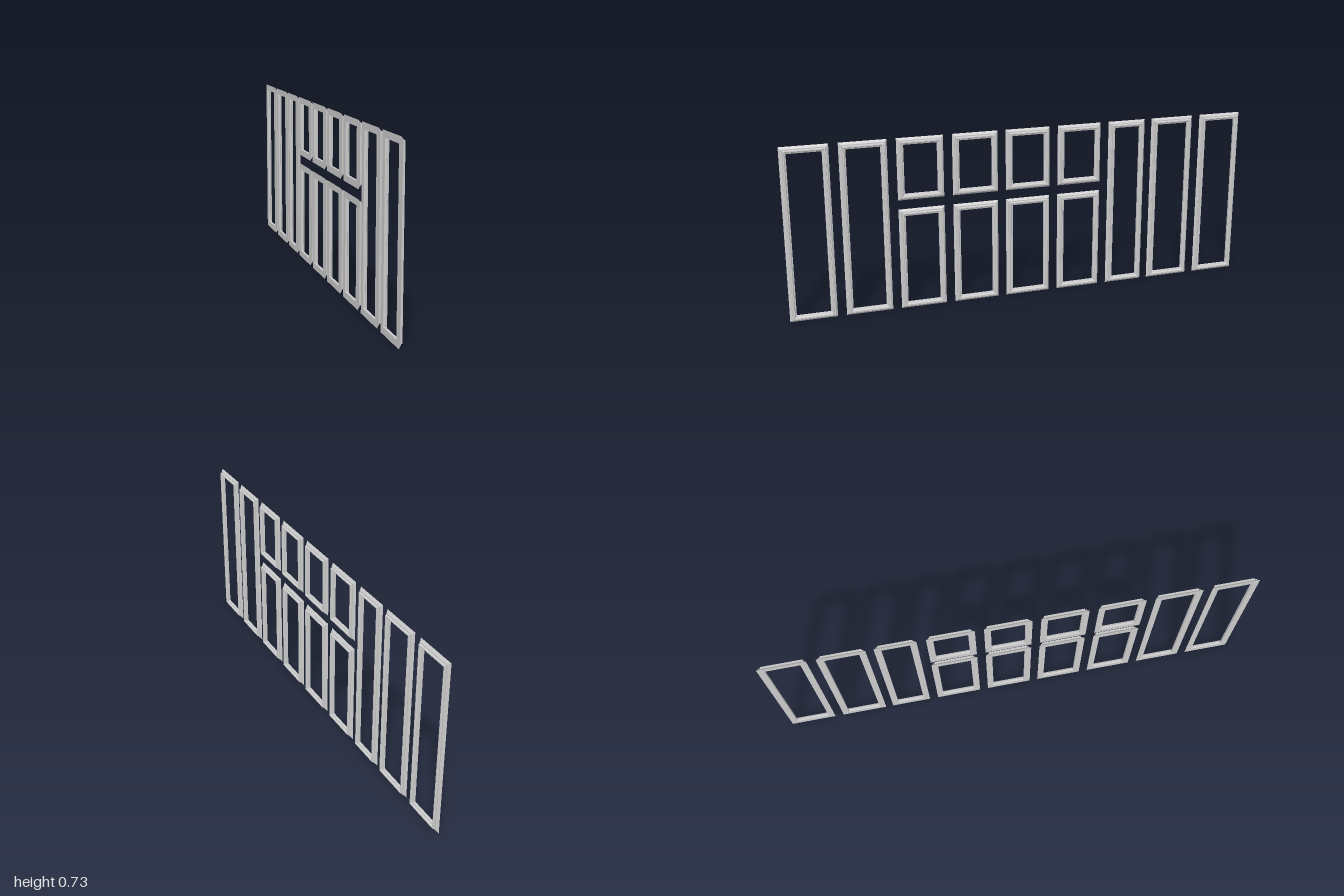
import * as THREE from 'three';

// Moulding cross-section as [inset from outer edge, x]: flat back, stepped front
const PROFILE = [
  [0, -0.009], [0.005, -0.005], [0.009, -0.001], [0.009, 0.001], [0.013, 0.001],
  [0.015, 0.009], [0.019, 0.009], [0.022, 0.003], [0.027, 0.001], [0.027, -0.009],
];

// Mitred rectangular frame: the cross-section swept around four corners
function frameGeometry(z0, z1, y0, y1) {
  const corner = (k, [inset, x]) => [
    x,
    k < 2 ? y0 + inset : y1 - inset,
    k === 0 || k === 3 ? z1 - inset : z0 + inset,
  ];
  const positions = [];
  for (let k = 0; k < 4; k++) {
    const next = (k + 1) % 4;
    PROFILE.forEach((p, i) => {
      const q = PROFILE[(i + 1) % PROFILE.length];
      const a = corner(k, p), b = corner(next, p), c = corner(next, q), d = corner(k, q);
      positions.push(...a, ...b, ...c, ...a, ...c, ...d);
    });
  }
  const geometry = new THREE.BufferGeometry();
  geometry.setAttribute('position', new THREE.Float32BufferAttribute(positions, 3));
  geometry.computeVertexNormals();
  return geometry;
}

export function createModel() {
  const group = new THREE.Group();
  group.name = 'wallPanelMoulding';
  const material = new THREE.MeshStandardMaterial({ color: 0xcccccc, flatShading: true });

  const addFrame = (name, z0, z1, y0, y1) => {
    const mesh = new THREE.Mesh(frameGeometry(z0, z1, y0, y1), material);
    mesh.name = name;
    group.add(mesh);
  };

  const height = 0.727;

  // Columns along z; the split ones hold a short frame over a taller one
  const columns = [
    [0.807, 1], [0.577, 0.77], [0.347, 0.54, true], [0.117, 0.31, true],
    [-0.111, 0.082, true], [-0.34, -0.147, true],
    [-0.545, -0.377], [-0.77, -0.577], [-1, -0.807],
  ];
  columns.forEach(([z0, z1, split], i) => {
    if (split) {
      addFrame(`lowerFrame${i + 1}`, z0, z1, 0, 0.43);
      addFrame(`upperFrame${i + 1}`, z0, z1, 0.468, height);
    } else {
      addFrame(`tallFrame${i + 1}`, z0, z1, 0, height);
    }
  });
  return group;
}
